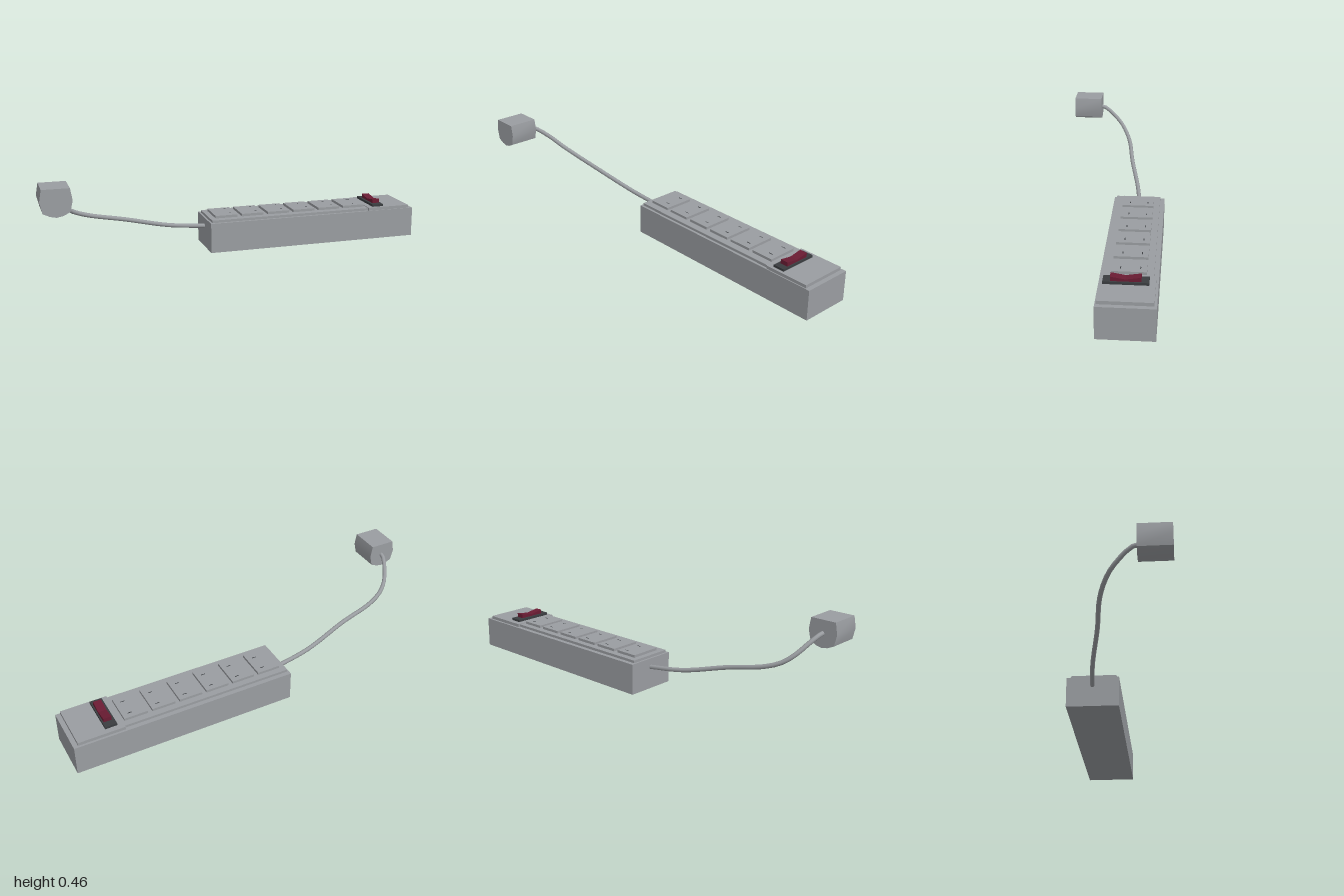
import * as THREE from 'three';
import { toCreasedNormals } from 'three/addons/utils/BufferGeometryUtils.js';

export function createModel() {
  const model = new THREE.Group();
  model.name = 'powerStrip';

  const material = (name, color) => {
    const m = new THREE.MeshStandardMaterial({ color });
    m.name = name;
    return m;
  };
  const grey = material('grey plastic', 0x9a9da1);
  const dark = material('dark plastic', 0x3a3d40);
  const red = material('switch red', 0x6a1c33);

  const add = (name, geometry, mat, parent = model) => {
    const mesh = new THREE.Mesh(geometry, mat);
    mesh.name = name;
    parent.add(mesh);
    return mesh;
  };
  // Box given by its limits on each axis
  const box = (name, [x0, x1], [y0, y1], [z0, z1], mat, parent) => {
    const g = new THREE.BoxGeometry(x1 - x0, y1 - y0, z1 - z0);
    g.translate((x0 + x1) / 2, (y0 + y1) / 2, (z0 + z1) / 2);
    return add(name, g, mat, parent);
  };
  const extrude = (points, depth) => new THREE.ExtrudeGeometry(
    new THREE.Shape(points.map(([x, y]) => new THREE.Vector2(x, y))),
    { depth, bevelEnabled: false });

  // Housing with its stepped top
  box('housing', [-0.13, 1], [0, 0.154], [-0.274, -0.015], grey);
  box('socketPanel', [-0.12, 0.75], [0.154, 0.167], [-0.252, -0.028], grey);
  box('switchPanel', [0.745, 0.977], [0.154, 0.17], [-0.263, -0.02], grey);

  // Six socket tiles, each with two slits
  for (let i = 0; i < 6; i++) {
    const x = -0.092 + i * 0.1415;
    const socket = new THREE.Group();
    socket.name = 'socket' + (i + 1);
    model.add(socket);
    box('socketTile', [x, x + 0.118], [0.167, 0.18], [-0.221, -0.065], grey, socket);
    for (const z of [-0.192, -0.104]) {
      box('slit', [x + 0.069, x + 0.09], [0.179, 0.1805], [z - 0.002, z + 0.002], dark, socket);
    }
  }

  // Rocker switch, dipped in the middle
  box('switchBase', [0.774, 0.834], [0.17, 0.182], [-0.235, -0.035], dark);
  const rocker = extrude(
    [[0.067, 0.182], [0.201, 0.182], [0.201, 0.203], [0.134, 0.192], [0.067, 0.203]], 0.04);
  rocker.rotateY(Math.PI / 2); // profile runs towards -z, depth along +x
  rocker.translate(0.787, 0, 0);
  add('switchRocker', rocker, red);

  // Plug: flat top, bulging sides and rounded bottom
  const plug = extrude([
    [-0.99, 0.457], [-1, 0.4], [-0.987, 0.346], [-0.955, 0.331], [-0.926, 0.325],
    [-0.897, 0.331], [-0.865, 0.346], [-0.852, 0.4], [-0.862, 0.457],
  ], 0.153);
  plug.translate(0, 0, 0.122);
  add('plug', toCreasedNormals(plug, 0.6), grey);

  // Cable from the end of the housing to the back of the plug
  const path = new THREE.CatmullRomCurve3([
    [-0.11, 0.108, -0.147], [-0.32, 0.135, -0.125], [-0.56, 0.197, -0.08],
    [-0.74, 0.238, -0.055], [-0.82, 0.27, -0.03], [-0.867, 0.309, 0.002],
    [-0.904, 0.362, 0.06], [-0.921, 0.388, 0.1], [-0.926, 0.396, 0.135],
  ].map((p) => new THREE.Vector3(...p)));
  add('cable', new THREE.TubeGeometry(path, 28, 0.011, 8), grey);

  return model;
}
